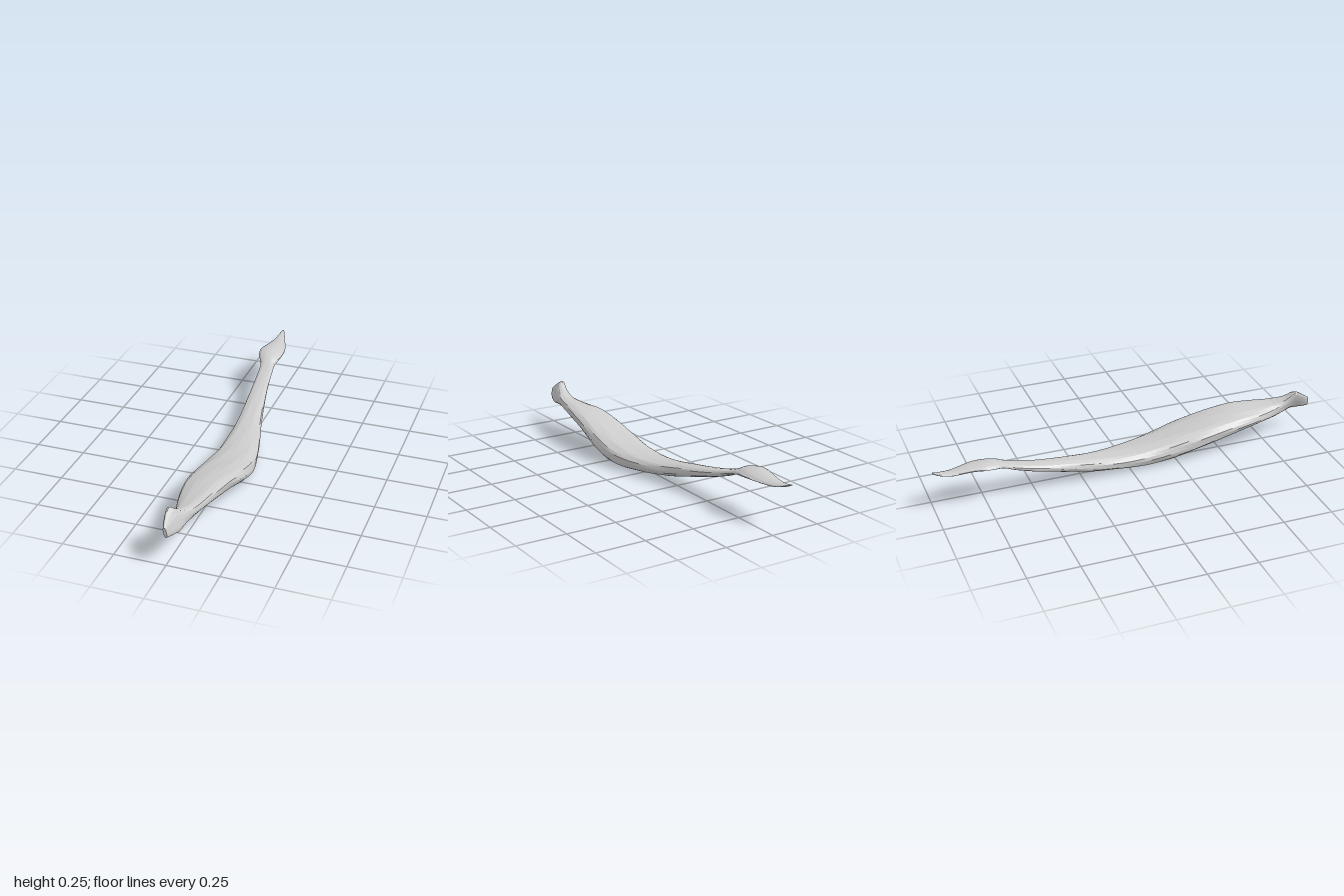
import * as THREE from 'three';

// Cross-sections, front to back: z, xMin, xMax, yMin, yMax, tilt, arch, lean
const FLARE = [
  [1.0, -0.008, 0.008, 0.15, 0.2, 0, 0, -0.004],
  [0.97, -0.012, 0.018, 0.145, 0.222, 0, 0, -0.012],
  [0.915, -0.014, 0.032, 0.14, 0.252, 0, 0, -0.022],
  [0.87, -0.02, 0.045, 0.137, 0.222, 0.004, 0, -0.012],
];
const BODY = [
  [0.8, -0.034, 0.068, 0.132, 0.2, 0.01],
  [0.7, -0.06, 0.095, 0.125, 0.195, 0.014],
  [0.6, -0.08, 0.115, 0.112, 0.195, 0.014],
  [0.5, -0.09, 0.126, 0.09, 0.185, 0.012],
  [0.4, -0.092, 0.137, 0.06, 0.166, 0.008],
  [0.3, -0.09, 0.143, 0.03, 0.143, 0.005],
  [0.2, -0.087, 0.138, 0.008, 0.12],
  [0.1, -0.085, 0.122, 0.002, 0.103],
  [0.0, -0.085, 0.098, 0.01, 0.094],
  [-0.1, -0.084, 0.07, 0.021, 0.095],
  [-0.2, -0.086, 0.043, 0.036, 0.105],
  [-0.3, -0.09, 0.02, 0.06, 0.121],
  [-0.4, -0.095, 0.0, 0.086, 0.136],
  [-0.5, -0.1, -0.018, 0.114, 0.154],
  [-0.6, -0.105, -0.03, 0.148, 0.179],
];
const TAIL = [
  [-0.65, -0.113, -0.033, 0.172, 0.197, -0.003, 0.004],
  [-0.69, -0.134, -0.026, 0.19, 0.212, -0.006, 0.012],
  [-0.75, -0.148, -0.018, 0.202, 0.219, -0.007, 0.016],
  [-0.81, -0.135, -0.024, 0.202, 0.217, -0.006, 0.013],
  [-0.87, -0.125, -0.042, 0.196, 0.21, -0.004, 0.009],
  [-0.92, -0.119, -0.058, 0.194, 0.206, -0.002, 0.006],
  [-0.97, -0.11, -0.077, 0.203, 0.213],
  [-1.0, -0.1, -0.09, 0.216, 0.222],
];
const SECTIONS = [...FLARE, ...BODY, ...TAIL];
const SIDES = 24, STEPS = 3;

// Smooth section at fractional index t
function sectionAt(t) {
  const i = Math.min(Math.floor(t), SECTIONS.length - 2), f = t - i;
  const at = (k, c) => SECTIONS[Math.max(0, Math.min(SECTIONS.length - 1, k))][c] ?? 0;
  return Array.from({ length: 8 }, (_, c) => {
    const p0 = at(i - 1, c), p1 = at(i, c), p2 = at(i + 1, c), p3 = at(i + 2, c);
    const m1 = (p2 - p0) / 2, m2 = (p3 - p1) / 2, f2 = f * f, f3 = f2 * f;
    return p1 * (2 * f3 - 3 * f2 + 1) + m1 * (f3 - 2 * f2 + f)
      + p2 * (3 * f2 - 2 * f3) + m2 * (f3 - f2);
  });
}

// Rounded-box outline of one section, with shallow lengthwise grooves
function ring(t) {
  const [z, x0, x1, y0, y1, tilt, arch, lean] = sectionAt(t);
  const power = 0.8, points = [];
  for (let j = 0; j < SIDES; j++) {
    const a = (j / SIDES) * Math.PI * 2;
    const u = Math.sign(Math.cos(a)) * Math.abs(Math.cos(a)) ** power;
    const v = Math.sign(Math.sin(a)) * Math.abs(Math.sin(a)) ** power;
    const groove = 1 - 0.018 * (1 + Math.sin(j * 2.4 + t * 1.3));
    points.push([
      (x0 + x1) / 2 + ((x1 - x0) / 2) * u * groove + lean * v,
      (y0 + y1) / 2 + ((y1 - y0) / 2) * v * groove + tilt * u + arch * (0.5 - u * u),
      z,
    ]);
  }
  return points;
}

// Skin between two section indices, with optional end caps
function loft(name, from, to, material, capFront, capBack) {
  const rows = (to - from) * STEPS, positions = [], index = [];
  for (let i = 0; i <= rows; i++) positions.push(...ring(from + i / STEPS).flat());
  for (let i = 0; i < rows; i++) {
    for (let j = 0; j < SIDES; j++) {
      const k = (j + 1) % SIDES;
      const a = i * SIDES + j, b = a + SIDES, c = (i + 1) * SIDES + k, d = i * SIDES + k;
      index.push(a, b, d, b, c, d);
    }
  }
  const last = rows * SIDES;
  for (let j = 1; j < SIDES - 1; j++) {
    if (capFront) index.push(0, j, j + 1);
    if (capBack) index.push(last, last + j + 1, last + j);
  }
  const geometry = new THREE.BufferGeometry();
  geometry.setAttribute('position', new THREE.Float32BufferAttribute(positions, 3));
  geometry.setIndex(index);
  geometry.computeVertexNormals();
  const mesh = new THREE.Mesh(geometry, material);
  mesh.name = name;
  return mesh;
}

export function createModel() {
  const group = new THREE.Group();
  group.name = 'curvedStrand';
  const material = new THREE.MeshStandardMaterial({
    color: 0xcccccc, flatShading: true, side: THREE.DoubleSide,
  });
  const bodyStart = FLARE.length, tailStart = bodyStart + BODY.length - 1;
  group.add(
    loft('frontFlare', 0, bodyStart, material, true, false),
    loft('belly', bodyStart, tailStart, material, false, false),
    loft('leafTail', tailStart, SECTIONS.length - 1, material, false, true),
  );
  return group;
}
